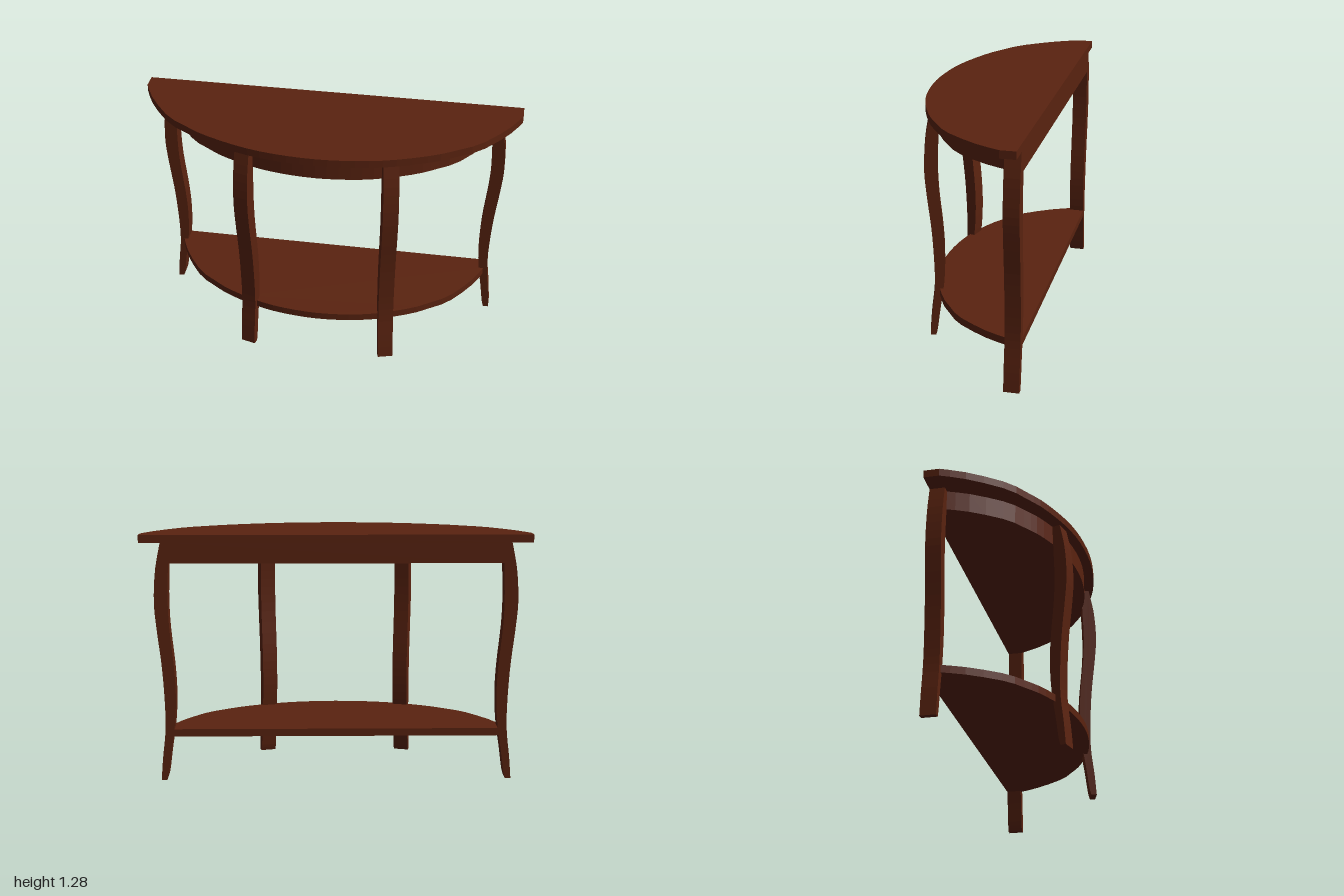
import * as THREE from 'three';

const BACK = -0.33;

// Half of the bowed front edge (x, z), from the side corner to the middle
const BOW = [[1, -0.25], [0.936, -0.12], [0.807, 0.05], [0.684, 0.137], [0.588, 0.195],
  [0.43, 0.26], [0.29, 0.3], [0.145, 0.322], [0, 0.33]];

// Leg outlines: [offset outwards, height]
const LEG_OUTER = [[-0.016, 0], [-0.026, 0.12], [-0.042, 0.26], [-0.043, 0.4], [-0.032, 0.6],
  [-0.01, 0.8], [0, 0.94], [-0.01, 1.1], [-0.037, 1.24]];
const LEG_INNER = [[-0.08, 1.24], [-0.075, 1.1], [-0.07, 0.95], [-0.075, 0.8], [-0.094, 0.6],
  [-0.1, 0.45], [-0.092, 0.3], [-0.07, 0.15], [-0.055, 0.04], [-0.045, 0]];

const toVectors = (points) => points.map(([x, y]) => new THREE.Vector2(x, y));

export function createModel() {
  const model = new THREE.Group();
  model.name = 'consoleTable';
  const wood = new THREE.MeshStandardMaterial({ color: 0x5a2310 });
  wood.name = 'dark reddish wood';

  // Bow-fronted board with a straight back
  function addBoard(name, halfWidth, depth, bottom, top) {
    const scaled = BOW.map(([x, z]) => [x * halfWidth, BACK + (z - BACK) * depth / 0.66]);
    const mirrored = scaled.slice(0, -1).reverse().map(([x, z]) => [-x, z]);
    const edge = toVectors([...scaled, ...mirrored].map(([x, z]) => [x, -z]));
    const shape = new THREE.Shape();
    shape.moveTo(-halfWidth, -BACK);
    shape.lineTo(halfWidth, -BACK);
    shape.lineTo(edge[0].x, edge[0].y);
    shape.splineThru(edge.slice(1));
    shape.closePath();
    const geometry = new THREE.ExtrudeGeometry(shape,
      { depth: top - bottom, bevelEnabled: false, curveSegments: 2 });
    geometry.rotateX(-Math.PI / 2);
    const mesh = new THREE.Mesh(geometry, wood);
    mesh.name = name;
    mesh.position.y = bottom;
    model.add(mesh);
  }
  addBoard('tableTop', 1, 0.66, 1.24, 1.28);
  addBoard('apron', 0.855, 0.61, 1.135, 1.24);
  addBoard('lowerShelf', 0.865, 0.62, 0.233, 0.272);

  // Curved legs, all cut from the same outline
  const outline = new THREE.Shape();
  outline.moveTo(...LEG_OUTER[0]);
  outline.splineThru(toVectors(LEG_OUTER.slice(1)));
  outline.lineTo(...LEG_INNER[0]);
  outline.splineThru(toVectors(LEG_INNER.slice(1)));
  outline.closePath();
  const legGeometry = new THREE.ExtrudeGeometry(outline,
    { depth: 0.08, bevelEnabled: false, curveSegments: 3 });
  legGeometry.translate(0, 0, -0.04);

  function addLeg(name, x, z, degrees) {
    const leg = new THREE.Mesh(legGeometry, wood);
    leg.name = name;
    leg.position.set(x, 0, z);
    leg.rotation.y = THREE.MathUtils.degToRad(degrees);
    model.add(leg);
  }
  addLeg('backLegLeft', 0.928, -0.29, 0);
  addLeg('backLegRight', -0.928, -0.29, 180);
  addLeg('frontLegLeft', 0.387, 0.288, -74);
  addLeg('frontLegRight', -0.387, 0.288, -106);

  return model;
}
